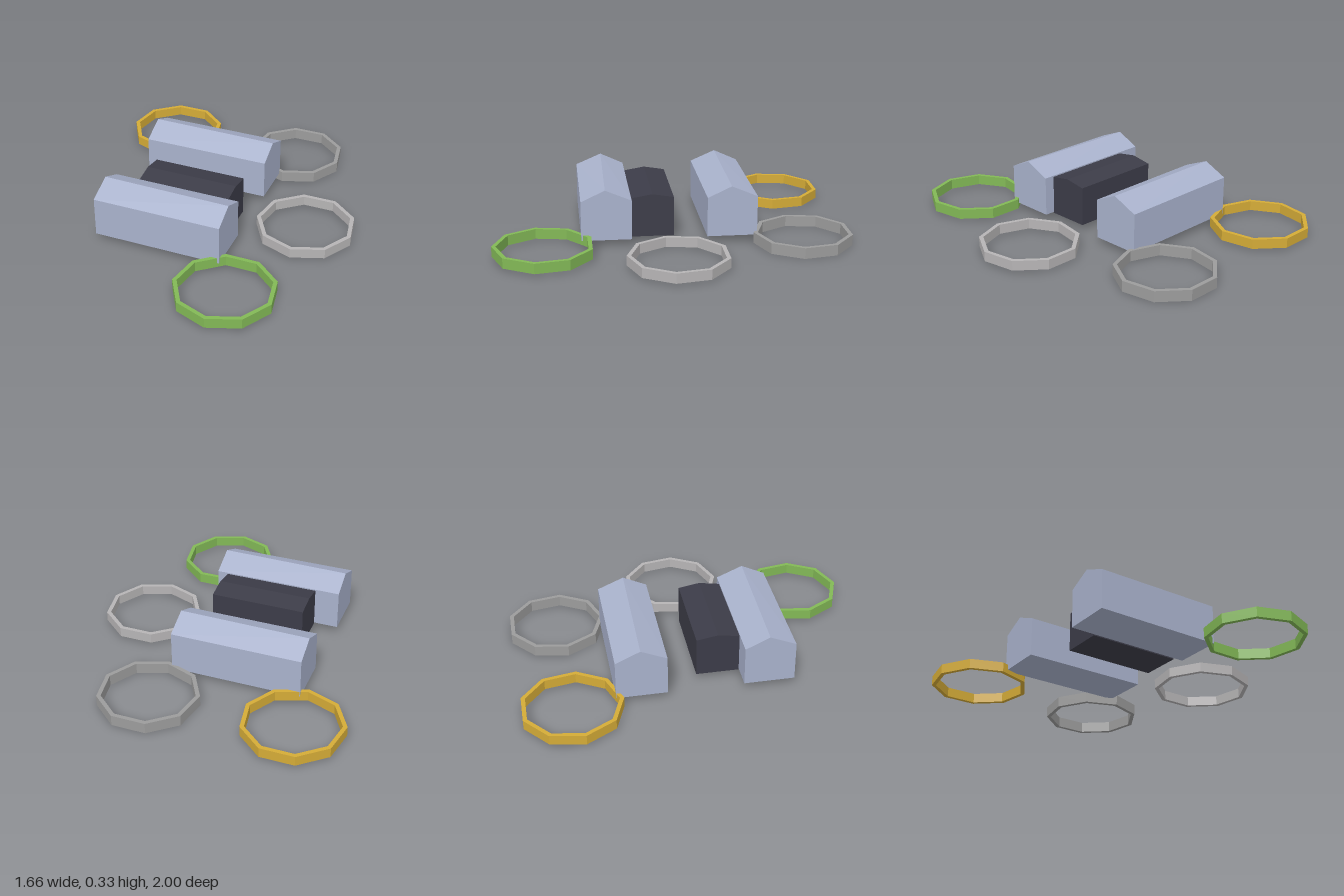
import * as THREE from 'three';

const mat = (color) => new THREE.MeshStandardMaterial({ color, flatShading: true });

// Gabled bar running along x; the ridge may drift in z from one end to the other
function gabledBar(name, material, { x0, x1, z0, z1, base, eave, ridge, ridgeZ0, ridgeZ1 }) {
  const profile = new THREE.Shape([
    [-z1, base], [-z0, base], [-z0, eave], [-(z0 + z1) / 2, ridge], [-z1, eave],
  ].map(([a, b]) => new THREE.Vector2(a, b)));
  const geo = new THREE.ExtrudeGeometry(profile, { depth: x1 - x0, bevelEnabled: false });
  geo.rotateY(Math.PI / 2).translate(x0, 0, 0);
  const p = geo.attributes.position;
  for (let i = 0; i < p.count; i++) {
    if (p.getY(i) > ridge - 1e-4) {
      p.setZ(i, p.getX(i) < (x0 + x1) / 2 ? ridgeZ0 : ridgeZ1);
    }
  }
  geo.computeVertexNormals();
  const mesh = new THREE.Mesh(geo, material);
  mesh.name = name;
  return mesh;
}

// Nine-sided hoop lying flat, one corner pointing to +z
function hoop(name, color, x, z, y0, height) {
  const nonagon = (r) => Array.from({ length: 9 }, (_, i) => {
    const a = -Math.PI / 2 + (i * Math.PI * 2) / 9;
    return new THREE.Vector2(r * Math.cos(a), r * Math.sin(a));
  });
  const shape = new THREE.Shape(nonagon(0.281));
  shape.holes.push(new THREE.Path(nonagon(0.257)));
  const geo = new THREE.ExtrudeGeometry(shape, { depth: height, bevelEnabled: false });
  geo.rotateX(-Math.PI / 2);
  const mesh = new THREE.Mesh(geo, mat(color));
  mesh.name = name;
  mesh.position.set(x, y0, z);
  return mesh;
}

export function createModel() {
  const group = new THREE.Group();
  group.name = 'hallsAndHoops';

  // Two large outer halls
  const hallMat = mat(0xa9b2cc);
  const hall = { x0: -0.514, x1: 0.229, base: 0.04, eave: 0.267, ridge: 0.33 };
  group.add(gabledBar('frontHall', hallMat, { ...hall, z0: 0.228, z1: 0.511, ridgeZ0: 0.363, ridgeZ1: 0.376 }));
  group.add(gabledBar('backHall', hallMat, { ...hall, z0: -0.479, z1: -0.196, ridgeZ0: -0.341, ridgeZ1: -0.331 }));

  // Smaller dark hall between them
  group.add(gabledBar('middleHall', mat(0x3c3c48), {
    x0: -0.374, x1: 0.168, z0: -0.013, z1: 0.228,
    base: 0.033, eave: 0.26, ridge: 0.28, ridgeZ0: 0.108, ridgeZ1: 0.108,
  }));

  // Hoops on the ground
  group.add(hoop('goldHoop', 0xd4ab37, -0.553, -0.72, 0.014, 0.056));
  group.add(hoop('darkGreyHoop', 0x9c9c9c, 0.254, -0.736, 0, 0.062));
  group.add(hoop('lightGreyHoop', 0xb6b4b5, 0.553, 0.002, 0.014, 0.056));
  group.add(hoop('greenHoop', 0x82b856, 0.345, 0.72, 0.014, 0.058));

  return group;
}
